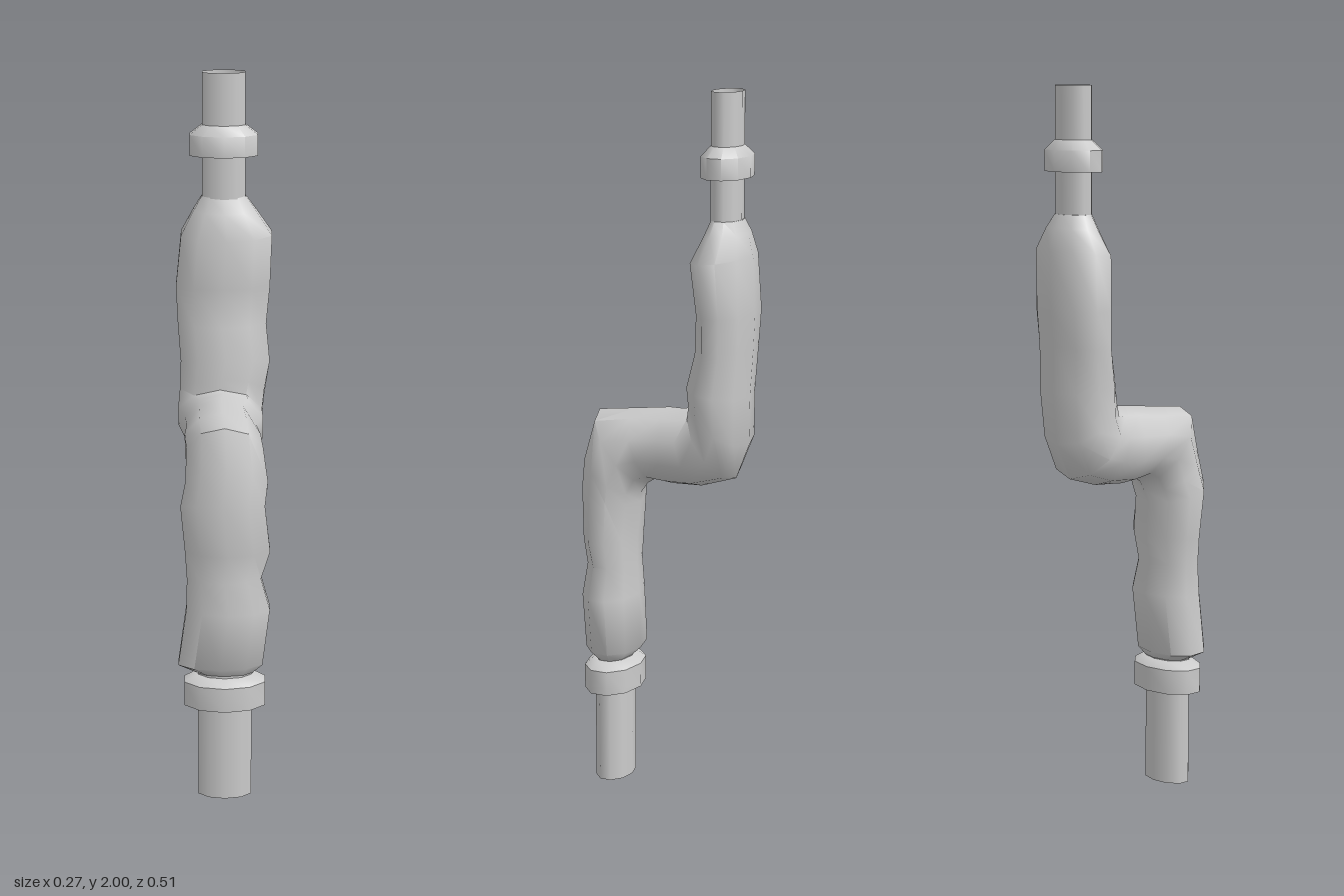
import * as THREE from 'three';
import { toCreasedNormals } from 'three/addons/utils/BufferGeometryUtils.js';

const SIDES = 10;
const FLAT = Math.sin(Math.PI * 0.4); // widest x of a ten-sided ring

const material = new THREE.MeshStandardMaterial({ color: 0xcccccc, side: THREE.DoubleSide });

function addMesh(parent, name, geometry) {
  const mesh = new THREE.Mesh(geometry, material);
  mesh.name = name;
  parent.add(mesh);
  return mesh;
}

// Open oval tube between two heights
function addPipe(parent, name, y0, y1, z, rx, rz) {
  const g = new THREE.CylinderGeometry(1, 1, y1 - y0, SIDES, 1, true);
  g.scale(rx / FLAT, 1, rz);
  g.translate(0, (y0 + y1) / 2, z);
  addMesh(parent, name, g);
}

// Oval ring with a bevelled top; profile is [radius factor, y]
function addCollar(parent, name, profile, z, rx, rz) {
  const g = new THREE.LatheGeometry(profile.map(([r, y]) => new THREE.Vector2(r, y)), SIDES);
  g.scale(rx / FLAT, 1, rz);
  g.translate(0, 0, z);
  addMesh(parent, name, toCreasedNormals(g, 0.85));
}

// Cross-sections of the wrapping, bottom to top:
// [front z, front y, back z, back y, min x, max x]
const SECTIONS = [
  [0.21, 0.36, 0.125, 0.36, -0.06, 0.07],
  [0.25, 0.40, 0.095, 0.39, -0.13, 0.105],
  [0.25, 0.56, 0.09, 0.56, -0.107, 0.125],
  [0.24, 0.65, 0.10, 0.65, -0.105, 0.10],
  [0.245, 0.73, 0.095, 0.73, -0.11, 0.125],
  [0.255, 0.88, 0.09, 0.83, -0.122, 0.11],
  [0.243, 0.97, 0.085, 0.86, -0.108, 0.118],
  [0.215, 1.09, 0.065, 0.89, -0.105, 0.105],
  [0.10, 1.103, 0.04, 0.905, -0.11, 0.10],
  [0.00, 1.115, -0.01, 0.895, -0.105, 0.09],
  [-0.045, 1.117, -0.10, 0.90, -0.11, 0.11],
  [-0.07, 1.12, -0.20, 0.93, -0.13, 0.108],
  [-0.072, 1.15, -0.24, 1.03, -0.125, 0.115],
  [-0.073, 1.20, -0.245, 1.17, -0.122, 0.13],
  [-0.095, 1.29, -0.25, 1.30, -0.13, 0.12],
  [-0.10, 1.40, -0.255, 1.40, -0.135, 0.13],
  [-0.085, 1.54, -0.252, 1.56, -0.12, 0.135],
  [-0.115, 1.61, -0.235, 1.62, -0.085, 0.09],
  [-0.133, 1.655, -0.217, 1.655, -0.062, 0.062],
];

function wrappingGeometry() {
  const pos = [], index = [];
  SECTIONS.forEach(([fz, fy, bz, by, x0, x1], i) => {
    for (let j = 0; j < SIDES; j++) {
      const t = (j / SIDES) * Math.PI * 2;
      const c = Math.cos(t), s = Math.sin(t);
      // slight unevenness of the cloth along the flanks
      const fold = 1 + 0.05 * Math.sin(i * 2.3 + j * 1.9) * s * s;
      pos.push(
        (x0 + x1) / 2 + ((x1 - x0) / 2) * s / FLAT,
        (fy + by) / 2 + ((fy - by) / 2) * c * fold,
        (fz + bz) / 2 + ((fz - bz) / 2) * c * fold
      );
    }
  });
  const last = SECTIONS.length - 1;
  for (let i = 0; i < last; i++) {
    for (let j = 0; j < SIDES; j++) {
      const k = (j + 1) % SIDES;
      const a = i * SIDES + j, b = i * SIDES + k;
      index.push(a, b, a + SIDES, b, b + SIDES, a + SIDES);
    }
  }
  // end caps
  for (let j = 1; j < SIDES - 1; j++) {
    index.push(0, j + 1, j);
    index.push(last * SIDES, last * SIDES + j, last * SIDES + j + 1);
  }
  const g = new THREE.BufferGeometry();
  g.setAttribute('position', new THREE.Float32BufferAttribute(pos, 3));
  g.setIndex(index);
  return toCreasedNormals(g, 1.0);
}

export function createModel() {
  const model = new THREE.Group();
  model.name = 'wrappedPipe';

  // Lower end
  addPipe(model, 'lowerPipe', 0, 0.38, 0.17, 0.075, 0.052);
  addCollar(model, 'lowerCollar',
    [[0.65, 0.275], [1, 0.275], [1, 0.345], [0.7, 0.365], [0.6, 0.365]], 0.17, 0.113, 0.08);

  // Cranked middle
  addMesh(model, 'wrapping', wrappingGeometry());

  // Upper end
  addPipe(model, 'upperPipe', 1.63, 2, -0.173, 0.06, 0.042);
  addCollar(model, 'upperCollar',
    [[0.62, 1.77], [1, 1.77], [1, 1.828], [0.64, 1.855]], -0.173, 0.095, 0.067);

  return model;
}
